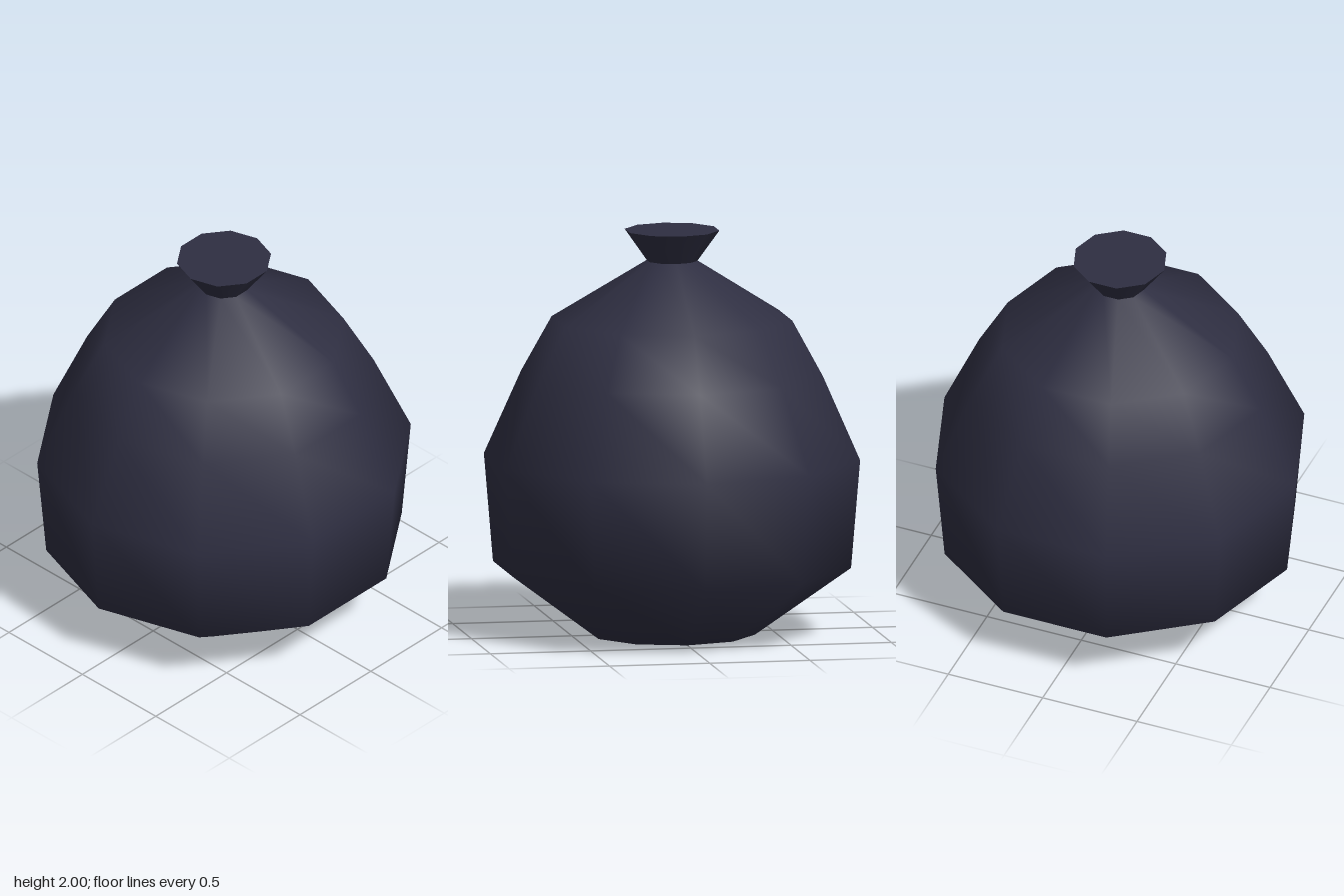
import * as THREE from 'three';

const SIDES = 10;

// Ten-sided turned part with a corner on the x axis
function turned(name, profile, material) {
  const points = profile.map(([r, y]) => new THREE.Vector2(r, y));
  const mesh = new THREE.Mesh(new THREE.LatheGeometry(points, SIDES, Math.PI / 2), material);
  mesh.name = name;
  return mesh;
}

export function createModel() {
  const group = new THREE.Group();
  group.name = 'tiedSack';
  const darkPlastic = new THREE.MeshStandardMaterial({ color: 0x2e2e41 });
  darkPlastic.name = 'darkPlastic';

  // Full, rounded sack with its closed bottom, up to the tie
  group.add(turned('sackBody', [
    [0, 0], [0.41, 0], [0.885, 0.34], [0.93, 0.875],
    [0.745, 1.29], [0.595, 1.56], [0.125, 1.848],
  ], darkPlastic));

  // Gathered neck flaring out above the tie
  group.add(turned('neck', [[0.125, 1.848], [0.234, 2]], darkPlastic));

  // Flat top closing the neck
  group.add(turned('neckTop', [[0.234, 2], [0, 2]], darkPlastic));

  return group;
}
